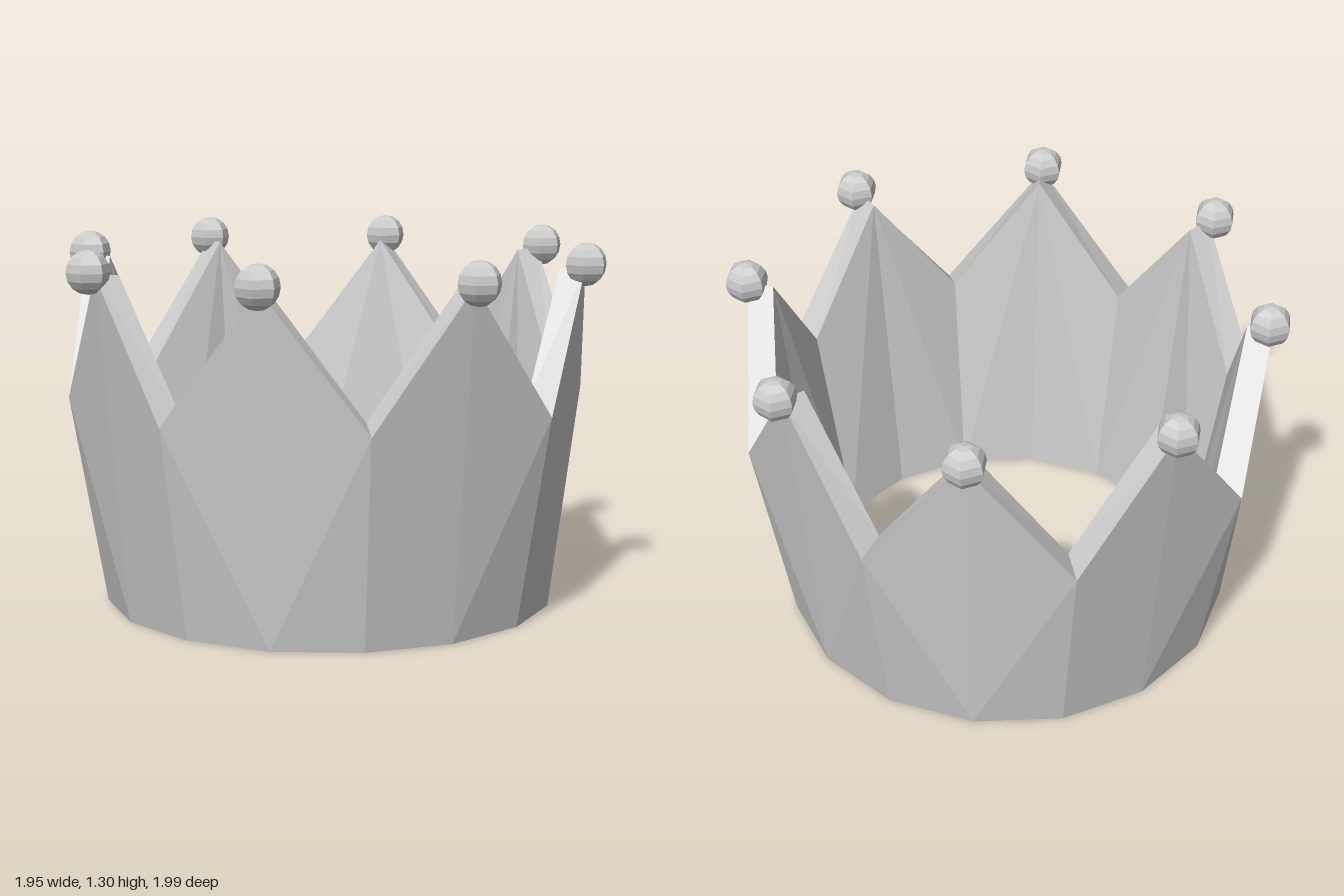
import * as THREE from 'three';

const CX = -0.01, CZ = -0.012; // axis of the ring
const COLUMNS = 16;            // even columns are peaks, odd ones valleys

// Cross-section of the wall at one column: [radius, height]
const peak = { outerBase: [0.803, 0], outerTop: [0.915, 1.215], innerTop: [0.825, 1.21], innerBase: [0.7, 0] };
const valley = { outerBase: [0.803, 0], outerTop: [0.93, 0.745], innerTop: [0.825, 0.775], innerBase: [0.7, 0] };

function column(i) {
  const a = (i / COLUMNS) * Math.PI * 2;
  const section = i % 2 ? valley : peak;
  return ['outerBase', 'outerTop', 'innerTop', 'innerBase'].map((key) => {
    const [r, y] = section[key];
    return [CX + r * Math.sin(a), y, CZ + r * Math.cos(a)];
  });
}

// Closed wall: outside, sloping rim, inside and underside
function bandGeometry() {
  const positions = [];
  for (let i = 0; i < COLUMNS; i++) {
    const a = column(i), b = column(i + 1);
    for (let k = 0; k < 4; k++) {
      const n = (k + 1) % 4;
      // Mirror the split of each quad on either side of a peak
      const tris = i % 2
        ? [a[k], b[k], a[n], b[k], b[n], a[n]]
        : [a[k], b[k], b[n], a[k], b[n], a[n]];
      for (const p of tris) positions.push(...p);
    }
  }
  const geometry = new THREE.BufferGeometry();
  geometry.setAttribute('position', new THREE.Float32BufferAttribute(positions, 3));
  geometry.computeVertexNormals();
  return geometry;
}

export function createModel() {
  const crown = new THREE.Group();
  crown.name = 'crown';
  const material = new THREE.MeshStandardMaterial({ color: 0xcccccc, flatShading: true });

  const band = new THREE.Mesh(bandGeometry(), material);
  band.name = 'pointedBand';
  crown.add(band);

  // Faceted ball on every peak, placed slightly unevenly
  const ball = new THREE.SphereGeometry(0.076, 6, 8).rotateY(Math.PI / 2);
  const spots = [
    [-0.01, 0.913], [0.652, 0.643], [0.907, -0.015], [0.652, -0.672],
    [-0.01, -0.925], [-0.657, -0.672], [-0.912, -0.015], [-0.677, 0.643],
  ];
  spots.forEach(([x, z], i) => {
    const mesh = new THREE.Mesh(ball, material);
    mesh.name = `peakBall${i + 1}`;
    mesh.position.set(x, 1.225, z);
    crown.add(mesh);
  });
  return crown;
}
